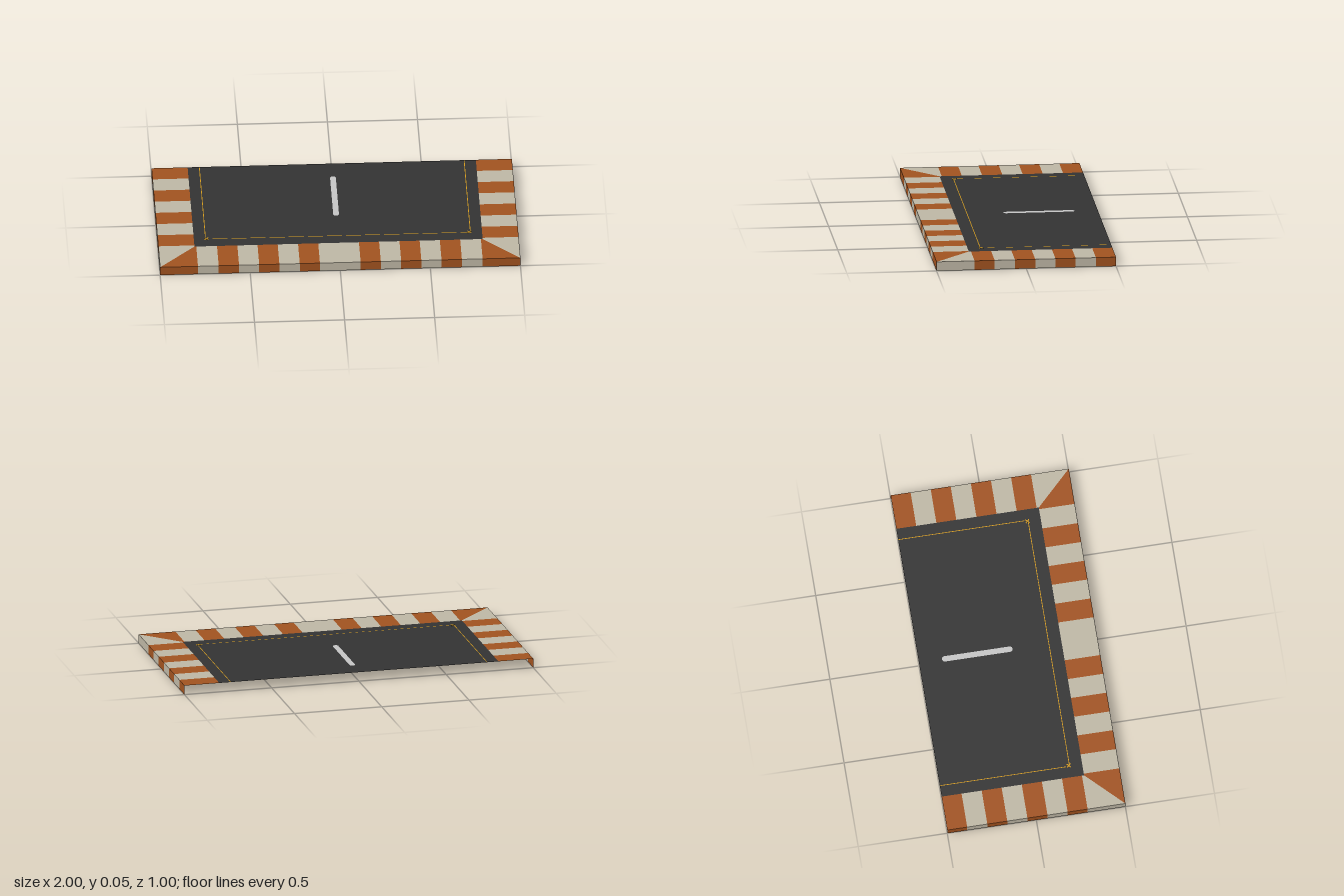
import * as THREE from 'three';

const TOP = 0.052; // height of the deck sheet

const mat = (name, color) => {
  const m = new THREE.MeshStandardMaterial({ color, side: THREE.DoubleSide });
  m.name = name;
  return m;
};

// Flat panel from four corners, counter-clockwise seen from outside
function quad(corners) {
  const g = new THREE.BufferGeometry();
  g.setAttribute('position', new THREE.Float32BufferAttribute(corners.flat(), 3));
  g.setIndex([0, 1, 2, 0, 2, 3]);
  g.computeVertexNormals();
  return g;
}

export function createModel() {
  const model = new THREE.Group();
  model.name = 'kerbedPlatform';
  const brick = mat('brickOrange', 0xa0521f);
  const stone = mat('paleStone', 0xbdb6a4);
  const asphalt = mat('darkAsphalt', 0x333333);
  const white = mat('slotGrey', 0xc4c4c4);
  const yellow = mat('lineYellow', 0xd49a1a);

  const add = (name, geometry, material, parent = model) => {
    const mesh = new THREE.Mesh(geometry, material);
    mesh.name = name;
    parent.add(mesh);
    return mesh;
  };

  // Asphalt deck with an opening for the central marking
  const slotOutline = (Type) => {
    const p = new Type();
    p.absarc(0, 0.355, 0.016, 0, Math.PI, false);
    p.absarc(0, -0.01, 0.016, Math.PI, Math.PI * 2, false);
    p.closePath();
    return p;
  };
  const deck = new THREE.Shape([[-0.8, -0.3], [0.8, -0.3], [0.8, 0.5], [-0.8, 0.5]]
    .map(([x, y]) => new THREE.Vector2(x, y)));
  deck.holes.push(slotOutline(THREE.Path));
  const flat = (shape) => new THREE.ShapeGeometry(shape, 6).rotateX(-Math.PI / 2).translate(0, TOP, 0);
  add('deck', flat(deck), asphalt);
  add('centreMarking', flat(slotOutline(THREE.Shape)), white);

  // Front kerb: alternating top panels and skirt panels, mitred at the corners
  const front = new THREE.Group();
  front.name = 'frontKerb';
  model.add(front);
  const fx = [-1, -0.79, -0.675, -0.562, -0.45, -0.338, -0.225, -0.113,
    0.113, 0.225, 0.338, 0.45, 0.562, 0.675, 0.79, 1];
  for (let i = 0; i < fx.length - 1; i++) {
    const a = fx[i], b = fx[i + 1];
    const m = i % 2 ? stone : brick;
    // mirrored pattern around the wide central pale panel
    const material = i === 7 ? stone : m;
    const ia = Math.max(a, -0.8), ib = Math.min(b, 0.8);
    add('frontKerbTop', quad([[a, TOP, 0.5], [b, TOP, 0.5], [ib, TOP, 0.3], [ia, TOP, 0.3]]), material, front);
    add('frontKerbSkirt', quad([[a, 0, 0.5], [b, 0, 0.5], [b, TOP, 0.5], [a, TOP, 0.5]]), material, front);
  }

  // Side kerbs, mirrored; the last pale panel meets the mitre
  const sz = [-0.5, -0.388, -0.275, -0.163, -0.05, 0.063, 0.176, 0.288, 0.5];
  for (const s of [1, -1]) {
    const side = new THREE.Group();
    side.name = s > 0 ? 'leftKerb' : 'rightKerb';
    model.add(side);
    const order = (c) => (s > 0 ? c : c.reverse());
    for (let i = 0; i < sz.length - 1; i++) {
      const a = sz[i], b = sz[i + 1];
      const material = i % 2 ? stone : brick;
      add('sideKerbTop', quad(order([[s, TOP, b], [s, TOP, a], [s * 0.8, TOP, a],
        [s * 0.8, TOP, Math.min(b, 0.3)]])), material, side);
      add('sideKerbSkirt', quad(order([[s, 0, b], [s, 0, a], [s, TOP, a], [s, TOP, b]])), material, side);
    }
  }

  // Thin painted border lines
  const line = (name, w, d, x, z) =>
    add(name, new THREE.PlaneGeometry(w, d).rotateX(-Math.PI / 2).translate(x, TOP + 0.0006, z), yellow);
  line('frontLine', 1.44, 0.004, 0, 0.229);
  for (const s of [1, -1]) {
    line('sideLine', 0.004, 0.71, s * 0.735, -0.145);
    // small crossed marks at the line corners
    for (const r of [0.25, -0.25]) {
      const bar = add('cornerMark', new THREE.BoxGeometry(0.03, 0.002, 0.006), yellow);
      bar.position.set(s * 0.73, TOP, 0.225);
      bar.rotation.y = Math.PI * r;
    }
  }
  return model;
}
